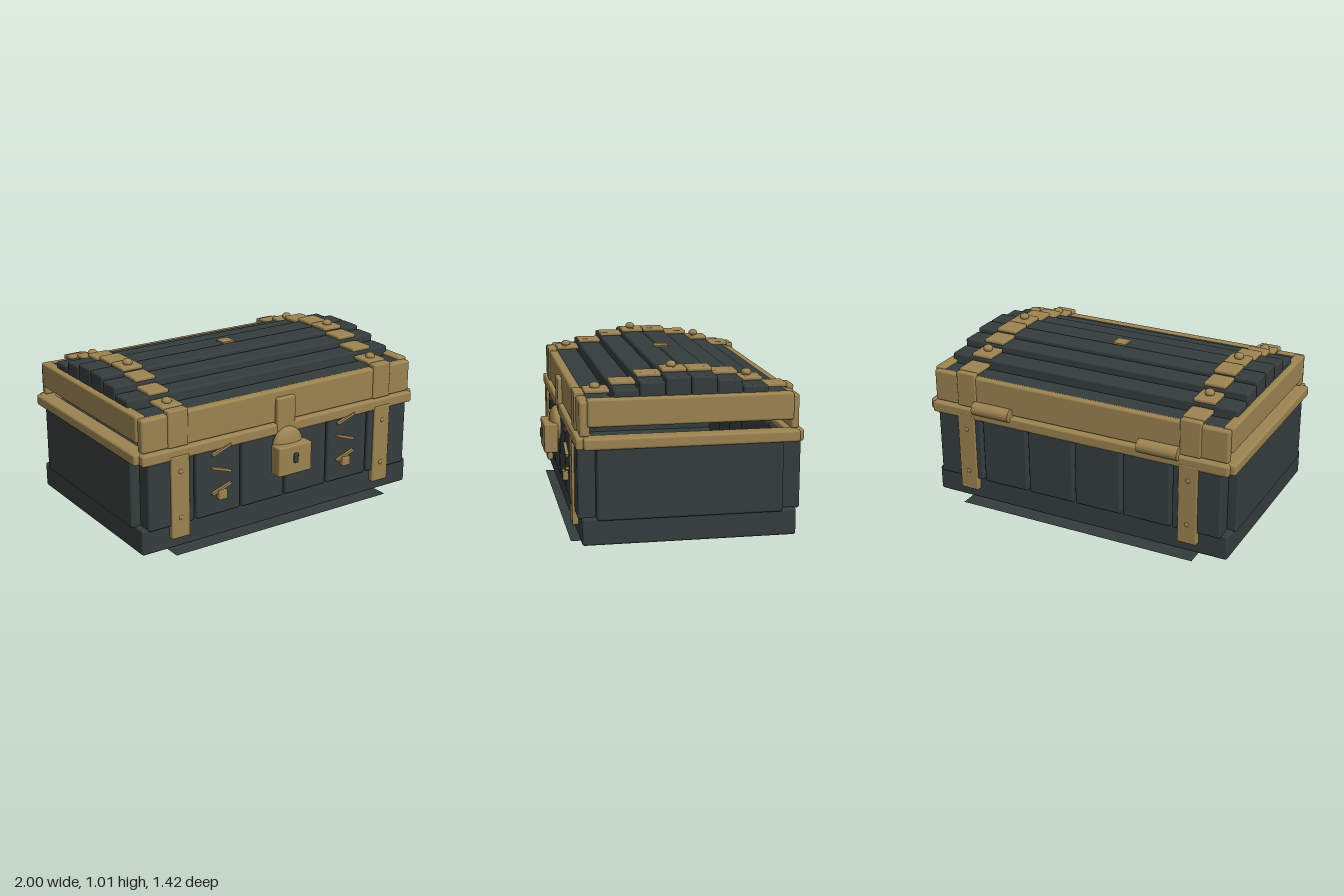
import * as THREE from 'three';
import { RoundedBoxGeometry } from 'three/addons/geometries/RoundedBoxGeometry.js';

const wood = new THREE.MeshStandardMaterial({ name: 'dark wood', color: 0x353d3c });
const brass = new THREE.MeshStandardMaterial({ name: 'brass', color: 0x9c8351 });
const sheet = new THREE.MeshStandardMaterial({ name: 'dark sheet', color: 0x353d3c, side: THREE.DoubleSide });

function add(parent, name, geometry, material, x = 0, y = 0, z = 0) {
  const mesh = new THREE.Mesh(geometry, material);
  mesh.name = name;
  mesh.position.set(x, y, z);
  parent.add(mesh);
  return mesh;
}

// Rounded box given by its [min, max] range on each axis
function block(parent, name, material, [x0, x1], [y0, y1], [z0, z1], bevel = 0.014) {
  const w = x1 - x0, h = y1 - y0, d = z1 - z0;
  const r = Math.min(bevel, 0.45 * Math.min(w, h, d));
  return add(parent, name, new RoundedBoxGeometry(w, h, d, 2, r), material,
    (x0 + x1) / 2, (y0 + y1) / 2, (z0 + z1) / 2);
}

// Squashed ball
function dome(parent, name, x, y, z, rx, ry, rz) {
  add(parent, name, new THREE.SphereGeometry(1, 24, 16), brass, x, y, z).scale.set(rx, ry, rz);
}

const around = (c, w) => [c - w / 2, c + w / 2];
const side = (s, a, b) => (s > 0 ? [a, b] : [-b, -a]);
const MID = -0.04; // centre of the chest body in z

function makeBody() {
  const g = new THREE.Group();
  g.name = 'body';
  add(g, 'groundSheet', new THREE.PlaneGeometry(1.54, 1.305).rotateX(-Math.PI / 2), sheet, 0, 0, MID);
  block(g, 'base', wood, [-0.966, 0.966], [0.03, 0.185], [-0.645, 0.57]);
  block(g, 'floor', wood, [-0.92, 0.92], [0.15, 0.225], [-0.56, 0.485]);

  // Upright boards, front and back, with narrow gaps
  for (let i = 0; i < 6; i++) {
    const x = around((i - 2.5) * 0.3125, 0.3);
    block(g, 'frontBoard', wood, x, [0.175, 0.61], [0.485, 0.59]);
    block(g, 'backBoard', wood, x, [0.175, 0.61], [-0.673, -0.56]);
  }
  for (const s of [-1, 1]) {
    block(g, 'sidePanel', wood, side(s, 0.9, 0.987), [0.175, 0.61], [-0.56, 0.49]);
    block(g, 'sideRim', brass, side(s, 0.9, 1), [0.578, 0.645], [-0.65, 0.56]);
  }
  block(g, 'frontRim', brass, [-0.968, 0.968], [0.575, 0.643], [0.5, 0.6]);
  block(g, 'backRim', brass, [-0.968, 0.968], [0.575, 0.643], [-0.68, -0.58]);

  // Upright straps with small studs
  for (const s of [-1, 1]) {
    const x = around(s * 0.73, 0.12);
    block(g, 'frontStrap', brass, x, [0.1, 0.6], [0.56, 0.605], 0.008);
    block(g, 'backStrap', brass, x, [0.1, 0.6], [-0.682, -0.64], 0.008);
    for (const y of [0.225, 0.505]) {
      dome(g, 'stud', s * 0.73, y, 0.603, 0.015, 0.015, 0.008);
      dome(g, 'stud', s * 0.73, y, -0.68, 0.015, 0.015, 0.008);
    }
  }

  // Slanted ornament bars and a small square on the front
  for (const x of [-0.455, 0.445]) {
    for (const [y, tilt] of [[0.572, 0.34], [0.453, -0.34], [0.333, 0.34]]) {
      add(g, 'ornamentBar', new THREE.BoxGeometry(0.135, 0.015, 0.02), brass, x, y, 0.598).rotation.z = tilt;
    }
    block(g, 'ornamentSquare', brass, around(x, 0.058), [0.272, 0.328], [0.585, 0.622], 0.006);
  }
  return g;
}

function makeLid() {
  const g = new THREE.Group();
  g.name = 'lid';
  block(g, 'frontFrame', brass, [-0.957, 0.957], [0.645, 0.842], [0.52, 0.578]);
  block(g, 'backFrame', brass, [-0.957, 0.957], [0.645, 0.842], [-0.652, -0.605]);
  for (const s of [-1, 1]) {
    block(g, 'sideFrame', brass, side(s, 0.905, 0.97), [0.698, 0.855], [-0.62, 0.535]);
  }

  // Stepped dome: boards with a strap plate over each
  const tops = [0.838, 0.895, 0.935, 0.957, 0.957, 0.935, 0.895, 0.838];
  tops.forEach((top, i) => {
    const outer = i === 0 || i === 7;
    const z = around(MID - 0.007 + (i - 3.5) * 0.1445, 0.143);
    const halfX = outer ? 0.92 : 0.935;
    block(g, 'domeBoard', wood, [-halfX, halfX], [top - 0.135, top], z);
    for (const s of [-1, 1]) {
      const y = outer ? 0.862 : top + 0.01;
      block(g, 'strapPlate', brass, around(s * 0.73, 0.134), around(y, 0.025), z, 0.01);
    }
  });

  for (const s of [-1, 1]) {
    const x = s * 0.73;
    block(g, 'frontLidStrap', brass, around(x, 0.13), [0.645, 0.865], [0.53, 0.588], 0.01);
    block(g, 'backLidStrap', brass, around(x, 0.13), [0.645, 0.865], [-0.662, -0.62], 0.01);
    for (const [y, z] of [[0.882, 0.465], [0.99, 0.033], [0.932, -0.4]]) {
      dome(g, 'rivet', x, y, z, 0.029, 0.022, 0.029);
    }
    // Plates and rivets on the underside
    block(g, 'innerPlate', brass, around(x, 0.13), [0.667, 0.692], [0.39, 0.53], 0.01);
    block(g, 'innerPlate', brass, around(x, 0.13), [0.667, 0.692], [-0.61, -0.465], 0.01);
    dome(g, 'innerRivet', x, 0.66, 0.465, 0.029, 0.02, 0.029);
    dome(g, 'innerRivet', x, 0.7, -0.4, 0.029, 0.02, 0.029);
  }
  block(g, 'topSquare', brass, [-0.043, 0.043], [0.968, 0.981], [-0.086, 0], 0.004);
  return g;
}

function makeLock() {
  const g = new THREE.Group();
  g.name = 'lock';
  block(g, 'hasp', brass, [-0.068, 0.064], [0.5, 0.8], [0.56, 0.605], 0.012);
  dome(g, 'lockCap', 0, 0.51, 0.61, 0.104, 0.11, 0.045);
  block(g, 'lockBox', brass, [-0.118, 0.118], [0.35, 0.53], [0.61, 0.695], 0.01);
  block(g, 'keyhole', wood, [-0.016, 0.014], [0.423, 0.483], [0.69, 0.709], 0.007);
  return g;
}

export function createModel() {
  const model = new THREE.Group();
  model.name = 'chest';
  model.add(makeBody(), makeLid(), makeLock());
  // Hinge barrels at the back
  for (const s of [-1, 1]) {
    const barrel = new THREE.CylinderGeometry(0.04, 0.04, 0.25, 24).rotateZ(Math.PI / 2);
    add(model, 'hinge', barrel, brass, s * 0.545, 0.655, -0.672);
  }
  return model;
}
